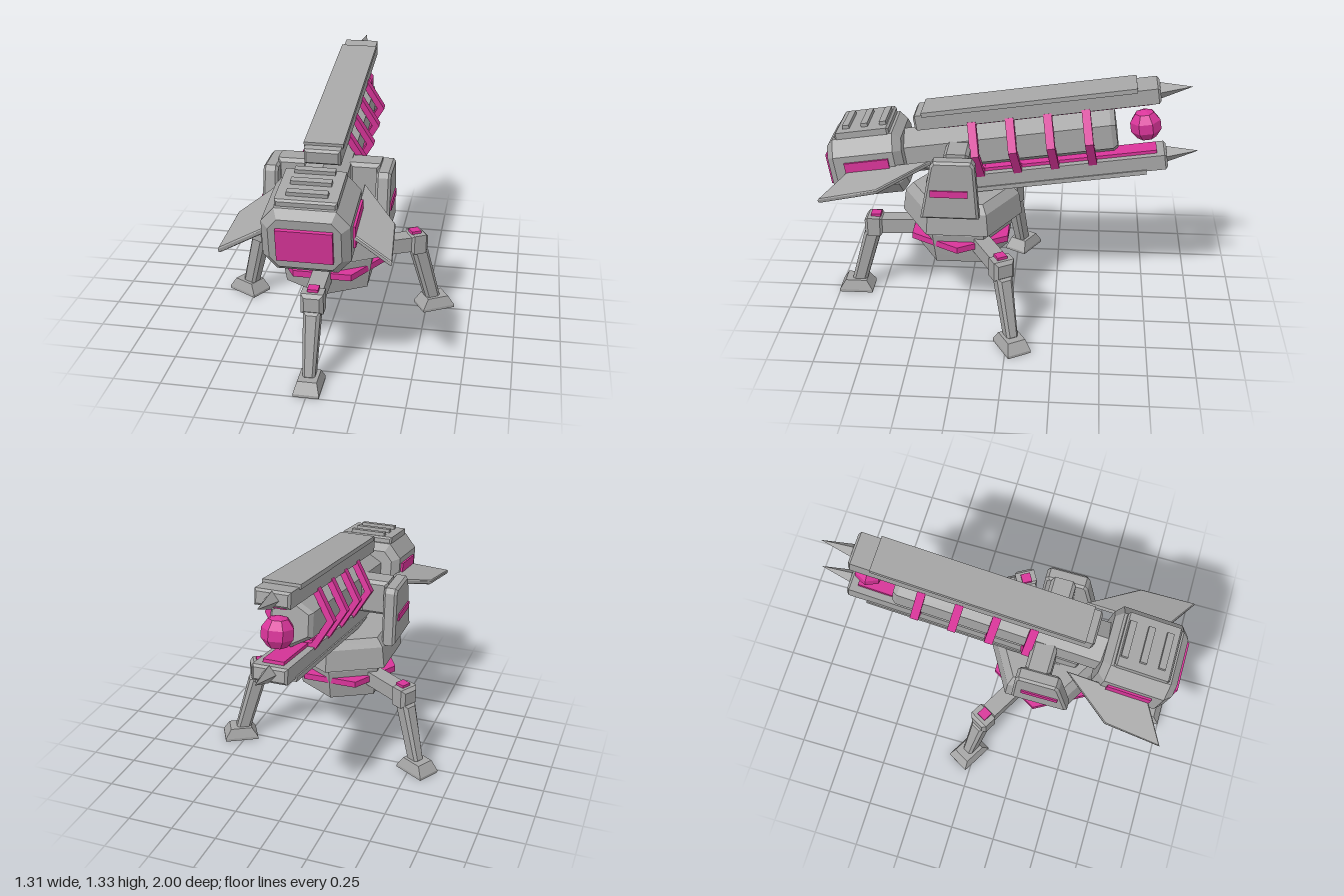
import * as THREE from 'three';

const grey = new THREE.MeshStandardMaterial({ color: 0xa6a6a6 });
grey.name = 'greyMetal';
const pink = new THREE.MeshStandardMaterial({ color: 0xd9359a });
pink.name = 'pinkGlow';

// Faceted normals
function flat(geo) {
  const g = geo.index ? geo.toNonIndexed() : geo;
  g.computeVertexNormals();
  return g;
}

function add(parent, name, geo, material, x = 0, y = 0, z = 0) {
  const mesh = new THREE.Mesh(flat(geo), material);
  mesh.name = name;
  mesh.position.set(x, y, z);
  parent.add(mesh);
  return mesh;
}

const toShape = (pts) => new THREE.Shape(pts.map(([x, y]) => new THREE.Vector2(x, y)));
const box = (w, h, d) => new THREE.BoxGeometry(w, h, d);

// Outline extruded along z with one flat bevel, centred on z = 0
function bevelled(pts, depth, bevel) {
  const geo = new THREE.ExtrudeGeometry(toShape(pts), {
    depth: depth - 2 * bevel, bevelEnabled: bevel > 0,
    bevelThickness: bevel, bevelSize: bevel, bevelSegments: 1, steps: 1,
  });
  return geo.translate(0, 0, -depth / 2 + bevel);
}

function chamferBox(w, h, d, c) {
  const a = w / 2 - c, b = h / 2 - c;
  return bevelled([[-a, -b], [a, -b], [a, b], [-a, b]], d, c);
}

// Taper a block along y: bottom scaled by sx and sz or top, and shifted in z
function taper(geo, height, [bx, bz, bShift], [tx, tz, tShift]) {
  const p = geo.attributes.position, mix = THREE.MathUtils.lerp;
  for (let i = 0; i < p.count; i++) {
    const t = p.getY(i) / height + 0.5;
    p.setX(i, p.getX(i) * mix(bx, tx, t));
    p.setZ(i, p.getZ(i) * mix(bz, tz, t) + mix(bShift, tShift, t));
  }
  return geo;
}

function hexLathe(profile) {
  return new THREE.LatheGeometry(profile.map(([r, y]) => new THREE.Vector2(r, y)), 6);
}

function hexagon(r) {
  return Array.from({ length: 6 }, (_, i) => [r * Math.cos(i * Math.PI / 3), r * Math.sin(i * Math.PI / 3)]);
}

// Leg reaching along +z
function createLeg() {
  const leg = new THREE.Group();
  leg.name = 'leg';
  const arm = add(leg, 'hipArm', chamferBox(0.09, 0.085, 0.3, 0.015), grey, 0, 0.437, 0.33);
  arm.rotation.x = 0.04;
  add(leg, 'knee', chamferBox(0.115, 0.11, 0.105, 0.018), grey, 0, 0.43, 0.5);
  add(leg, 'kneeLight', box(0.055, 0.02, 0.055), pink, 0, 0.49, 0.49);
  add(leg, 'shin', taper(chamferBox(0.09, 0.34, 0.095, 0.018), 0.34, [0.7, 0.9, 0.61], [1, 1, 0.51]), grey, 0, 0.225, 0);
  add(leg, 'footSole', box(0.133, 0.015, 0.19), grey, 0, 0.0075, 0.625);
  add(leg, 'foot', taper(box(0.133, 0.055, 0.19), 0.055, [1, 1, 0], [0.75, 0.64, 0]), grey, 0, 0.0425, 0.625);
  return leg;
}

// Half of the twin rail: side is +1 above the barrel and -1 below
function addRail(gun, side) {
  const rail = new THREE.Group();
  rail.name = side > 0 ? 'upperRail' : 'lowerRail';
  add(rail, 'railBeam', chamferBox(0.185, 0.083, 1.31, 0.012), grey, 0, side * 0.19, -0.445);
  add(rail, 'railCover', box(0.2, 0.025, 1.144), grey, 0, side * 0.2345, -0.412);
  add(rail, 'railGlow', box(0.11, 0.02, 1.11), pink, 0, side * 0.141, -0.495);
  const spike = new THREE.ConeGeometry(0.046, 0.17, 4).rotateX(-Math.PI / 2).scale(0.8, 1, 1);
  add(rail, 'railSpike', spike, grey, 0, side * 0.185, -1.185);
  gun.add(rail);
}

// Tilted gun, its axis along z with the muzzle towards -z
function createGun() {
  const gun = new THREE.Group();
  gun.name = 'gun';
  const barrel = hexLathe([[0, -0.4], [0.132, -0.4], [0.132, 0.825], [0.112, 0.85], [0, 0.85]]);
  add(gun, 'barrel', barrel.rotateX(-Math.PI / 2), grey);
  addRail(gun, 1);
  addRail(gun, -1);

  // Coils round the barrel
  for (let i = 0; i < 4; i++) {
    const shape = toShape(hexagon(0.187));
    shape.holes.push(toShape(hexagon(0.148)));
    const coil = new THREE.ExtrudeGeometry(shape, { depth: 0.045, bevelEnabled: false });
    add(gun, 'coil', coil, pink, 0, 0, -0.119 - i * 0.203);
  }
  add(gun, 'energyOrb', new THREE.SphereGeometry(0.087, 7, 5), pink, 0, 0, -1.005);

  // Rear housing
  const half = [[0.13, -0.133], [0.175, -0.08], [0.175, 0.08], [0.13, 0.133]];
  const outline = [...half, ...half.map(([x, y]) => [-x, -y])];
  add(gun, 'housing', bevelled(outline, 0.405, 0.04), grey, 0, 0, 0.4875);
  add(gun, 'rearPanel', box(0.274, 0.17, 0.022), pink, 0, 0, 0.699);
  add(gun, 'ventPlate', chamferBox(0.3, 0.05, 0.295, 0.01), grey, 0, 0.182, 0.487);
  for (let i = 0; i < 3; i++) {
    add(gun, 'ventSlat', box(0.2, 0.03, 0.036), grey, 0, 0.212, 0.373 + i * 0.101);
  }

  // Side lights and drooping fins
  for (const s of [1, -1]) {
    add(gun, 'sideLight', box(0.02, 0.12, 0.24), pink, s * 0.217, 0, 0.475);
    const pts = [[0, 0.145], [0.19, 0.41], [0.215, 0.71], [0.01, 0.58]].map(([x, z]) => [s * x, z]);
    const fin = add(gun, 'fin', bevelled(pts, 0.028, 0.006).rotateX(Math.PI / 2), grey, s * 0.2, 0, 0);
    fin.rotation.z = -s * 0.23;
  }
  gun.position.set(0, 0.934, 0.285);
  gun.rotation.x = 0.15;
  return gun;
}

export function createModel() {
  const model = new THREE.Group();
  model.name = 'gunTurret';

  // Base and turntable
  const base = new THREE.Group();
  base.name = 'base';
  base.position.z = 0.28;
  model.add(base);
  add(base, 'lowerHull', hexLathe([[0, 0.325], [0.25, 0.325], [0.258, 0.37], [0.28, 0.5], [0.265, 0.53], [0, 0.53]]), grey);
  const band = new THREE.CylinderGeometry(0.305, 0.305, 0.035, 6).rotateY(Math.PI / 6);
  add(base, 'hullLightBand', band, pink, 0, 0.443, 0);
  add(base, 'turntable', hexLathe([[0, 0.528], [0.333, 0.528], [0.315, 0.65], [0.272, 0.695], [0, 0.695]]), grey);
  for (let i = 0; i < 3; i++) {
    const leg = createLeg();
    leg.rotation.y = i * Math.PI * 2 / 3;
    base.add(leg);
  }

  // Yoke cheeks on both sides; outline is z negated against y
  const cheek = [[-0.455, 0.66], [-0.17, 0.66], [-0.188, 0.95], [-0.2, 0.968], [-0.385, 0.968], [-0.397, 0.95]];
  for (const s of [1, -1]) {
    add(model, 'yokeCheek', bevelled(cheek, 0.077, 0.013).rotateY(Math.PI / 2), grey, s * 0.292, 0, 0);
    add(model, 'yokeLight', box(0.018, 0.038, 0.2), pink, s * 0.329, 0.8, 0.312);
    add(model, 'trunnion', chamferBox(0.16, 0.2, 0.135, 0.018), grey, s * 0.187, 0.9, 0.278);
  }

  model.add(createGun());
  return model;
}
